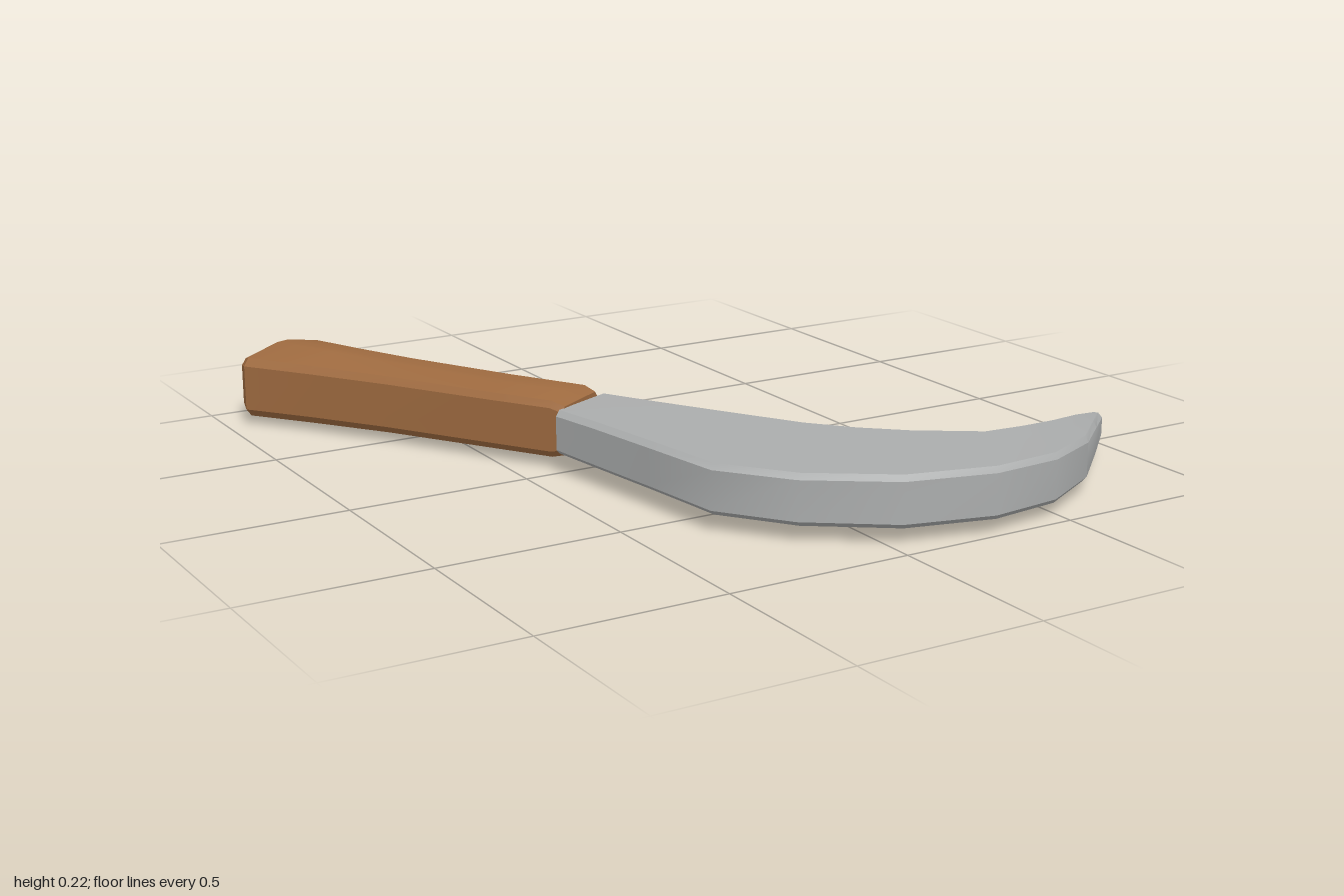
import * as THREE from 'three';
import { toCreasedNormals } from 'three/addons/utils/BufferGeometryUtils.js';

// Skin a list of closed rings (arrays of [x, y, z]) and cap both ends.
function loft(rings, crease) {
  const pos = [];
  const tri = (a, b, c) => pos.push(...a, ...b, ...c);
  const n = rings[0].length;
  for (let i = 0; i < rings.length - 1; i++) {
    for (let j = 0; j < n; j++) {
      const k = (j + 1) % n;
      const [a, b, c, d] = [rings[i][j], rings[i + 1][j], rings[i + 1][k], rings[i][k]];
      tri(a, b, c);
      tri(a, c, d);
    }
  }
  const cap = (ring, flip) => {
    const mid = [0, 1, 2].map((q) => ring.reduce((s, p) => s + p[q], 0) / n);
    ring.forEach((p, j) => {
      const next = ring[(j + 1) % n];
      if (flip) tri(mid, next, p);
      else tri(mid, p, next);
    });
  };
  cap(rings[0], false);
  cap(rings[rings.length - 1], true);
  const g = new THREE.BufferGeometry();
  g.setAttribute('position', new THREE.Float32BufferAttribute(pos, 3));
  return toCreasedNormals(g, crease);
}

// Point between two plan points, at distance d from a (or fraction u), at height y.
const between = (ax, az, bx, bz, u, y) => [ax + (bx - ax) * u, y, az + (bz - az) * u];

// Blade section: flat bar with softened edges, a little thinner on the inner edge.
function bladeRing([ax, az, bx, bz, y0, y1], inset = 0) {
  const w = Math.hypot(bx - ax, bz - az);
  const e = Math.min(0.016 / w, 0.3), h = 0.014 + inset;
  const drop = Math.min(0.008, w * 0.03);
  const section = [
    [0, y0 + h], [0, y1 - h], [e, y1 - inset], [0.5, y1 - inset - drop * 0.5],
    [1 - e, y1 - inset - drop], [1, y1 - h - drop],
    [1, y0 + h + drop], [1 - e, y0 + inset + drop], [0.5, y0 + inset + drop * 0.5], [e, y0 + inset],
  ];
  return section.map(([u, y]) => between(ax, az, bx, bz, u, y));
}

// Handle section: six-sided with a ridge above and below and softened corners.
function handleRing([ax, az, bx, bz, side, ridge]) {
  const c = 0.115, s = side, r = ridge;
  const half = [[0, s - 0.015], [0.06, s + (r - s) * 0.2], [0.44, r - 0.003], [0.56, r - 0.003], [0.94, s + (r - s) * 0.2], [1, s - 0.015]];
  const top = half.map(([u, h]) => between(ax, az, bx, bz, u, c + h));
  const bottom = half.map(([u, h]) => between(ax, az, bx, bz, u, c - h)).reverse();
  return [...top, ...bottom];
}

export function createModel() {
  const steel = new THREE.MeshStandardMaterial({ color: 0xabadad });
  steel.name = 'steel grey';
  const wood = new THREE.MeshStandardMaterial({ color: 0x9f6b40 });
  wood.name = 'wood brown';

  // Hooked blade: outer x, z, inner x, z, bottom, top
  const bladeStations = [
    [-0.41, 0.0, -0.19, -0.12, 0.058, 0.178],
    [-0.385, 0.15, -0.11, 0.03, 0.055, 0.18],
    [-0.35, 0.38, 0.0, 0.22, 0.053, 0.181],
    [-0.315, 0.62, 0.11, 0.405, 0.05, 0.182],
    [-0.18, 0.795, 0.2, 0.51, 0.048, 0.182],
    [0.03, 0.94, 0.3, 0.6, 0.046, 0.182],
    [0.27, 0.995, 0.46, 0.7, 0.044, 0.18],
    [0.48, 0.965, 0.585, 0.69, 0.041, 0.173],
    [0.67, 0.86, 0.71, 0.66, 0.04, 0.16],
    [0.82, 0.72, 0.83, 0.61, 0.042, 0.142],
    [0.94, 0.605, 0.915, 0.575, 0.046, 0.122],
  ];
  const rings = bladeStations.map((s) => bladeRing(s));
  // soften the butt end of the blade
  rings.unshift(bladeRing([-0.4, -0.012, -0.2, -0.122, 0.058, 0.178], 0.01));
  const blade = new THREE.Mesh(loft(rings, 0.6), steel);
  blade.name = 'blade';

  // Handle: left x, z, right x, z, half height of the sides, half height of the ridge
  const handleStations = [
    [-0.91, -0.92, -0.71, -0.995, 0.06, 0.068],
    [-0.935, -0.905, -0.69, -0.99, 0.07, 0.085],
    [-0.945, -0.86, -0.67, -0.965, 0.078, 0.111],
    [-0.82, -0.69, -0.6, -0.81, 0.077, 0.105],
    [-0.68, -0.485, -0.52, -0.65, 0.076, 0.096],
    [-0.5, -0.195, -0.36, -0.36, 0.075, 0.09],
    [-0.405, -0.045, -0.235, -0.15, 0.075, 0.088],
    [-0.385, -0.01, -0.225, -0.11, 0.066, 0.07],
  ];
  const handle = new THREE.Mesh(loft(handleStations.map(handleRing), 0.5), wood);
  handle.name = 'handle';

  const group = new THREE.Group();
  group.name = 'billhook';
  group.add(blade, handle);
  return group;
}
